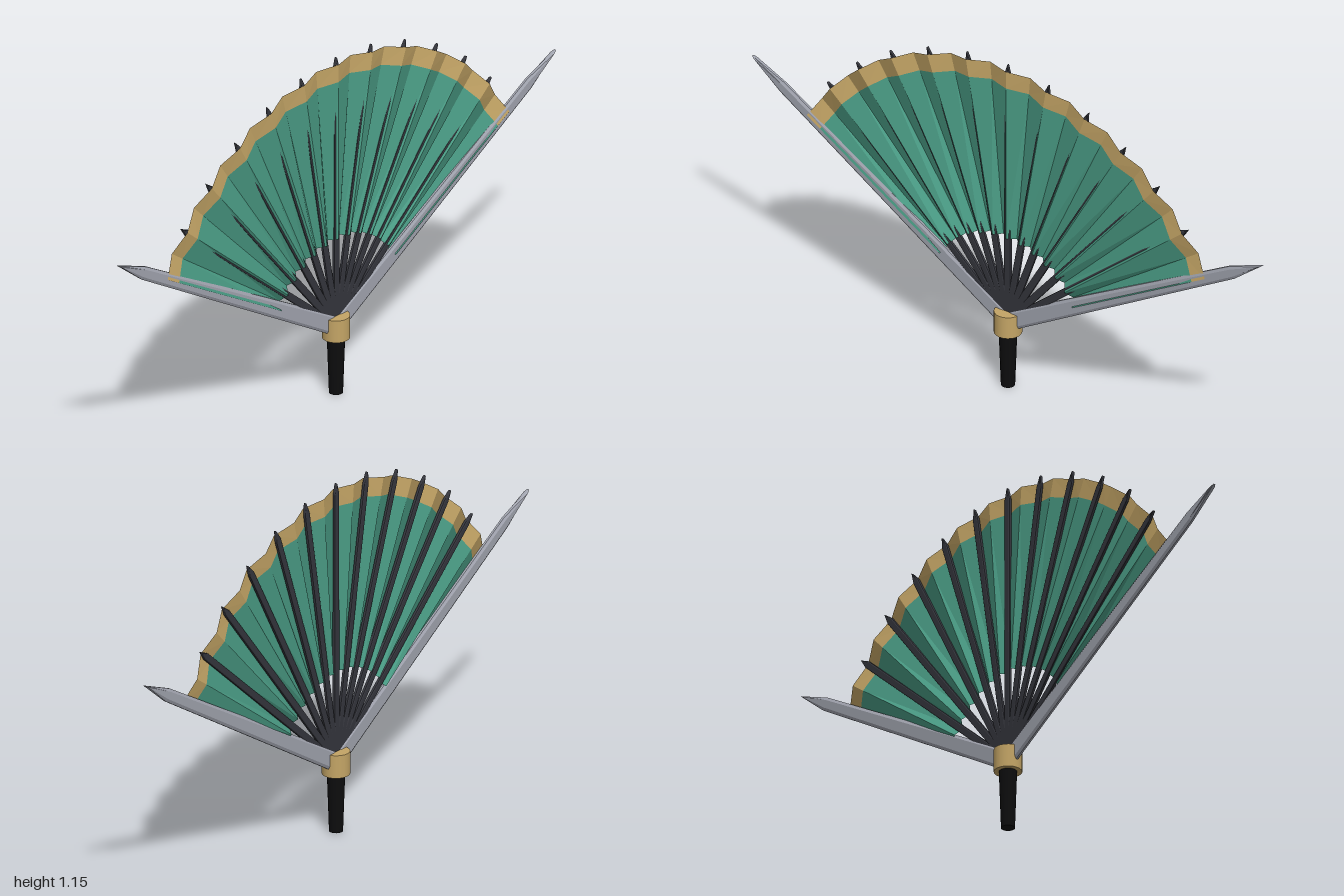
import * as THREE from 'three';

const mat = (name, color, side = THREE.FrontSide) => {
  const m = new THREE.MeshStandardMaterial({ color, side });
  m.name = name;
  return m;
};

const PIVOT = 0.228;
const STEP = Math.PI / 36; // one pleat face

// Flat pointed blade along +y with chamfered edges, centred on z = 0
function bladeGeometry(baseHalf, endHalf, shoulder, tip, start, halfThick, bevel, bevelDepth) {
  const shape = new THREE.Shape([
    [-baseHalf, start], [baseHalf, start], [endHalf, shoulder], [0, tip], [-endHalf, shoulder],
  ].map(([x, y]) => new THREE.Vector2(x, y)));
  const depth = 2 * (halfThick - bevelDepth);
  const g = new THREE.ExtrudeGeometry(shape, {
    depth, bevelEnabled: true, bevelSegments: 1,
    bevelSize: bevel, bevelOffset: -bevel, bevelThickness: bevelDepth,
  });
  return g.translate(0, 0, -depth / 2);
}

// Pleated ring sector between two radii; folds alternate in front and behind
function pleatGeometry(rIn, rOut) {
  const pos = [];
  const point = (i, r) => {
    const a = i * STEP;
    return [r * Math.sin(a), r * Math.cos(a), i % 2 === 0 ? 0.011 : -0.011];
  };
  for (let i = -12; i < 12; i++) {
    const a = point(i, rIn), b = point(i + 1, rIn), c = point(i + 1, rOut), d = point(i, rOut);
    pos.push(...a, ...b, ...c, ...a, ...c, ...d);
  }
  const g = new THREE.BufferGeometry();
  g.setAttribute('position', new THREE.Float32BufferAttribute(pos, 3));
  g.computeVertexNormals();
  return g;
}

export function createModel() {
  const teal = mat('teal cloth', 0x4a9c85, THREE.DoubleSide);
  const gold = mat('gold trim', 0xc4a566, THREE.DoubleSide);
  const steel = mat('steel', 0xa2a5b0);
  const dark = mat('dark ribs', 0x35363d);
  const black = mat('black grip', 0x0d0d0e);

  const model = new THREE.Group();
  model.name = 'foldingFan';
  const add = (parent, name, geometry, material, y = 0, angle = 0) => {
    const m = new THREE.Mesh(geometry, material);
    m.name = name;
    m.position.y = y;
    m.rotation.z = -angle;
    parent.add(m);
    return m;
  };

  // Pleated leaf and its border
  const leaf = new THREE.Group();
  leaf.name = 'leaf';
  leaf.position.y = PIVOT;
  add(leaf, 'leafCloth', pleatGeometry(0.3, 0.84), teal);
  add(leaf, 'leafBorder', pleatGeometry(0.84, 0.9), gold);
  model.add(leaf);

  // Thin ribs, one in each forward fold
  const ribs = new THREE.Group();
  ribs.name = 'ribs';
  const ribGeo = bladeGeometry(0.012, 0.011, 0.885, 0.922, 0, 0.006, 0.003, 0.002);
  for (let i = -5; i <= 5; i++) add(ribs, 'rib', ribGeo, dark, PIVOT, i * 2 * STEP);
  model.add(ribs);

  // Outer guard blades
  const guardGeo = bladeGeometry(0.031, 0.021, 1.015, 1.154, 0, 0.0085, 0.009, 0.005);
  for (const s of [-1, 1]) {
    add(model, s > 0 ? 'leftGuard' : 'rightGuard', guardGeo, steel, PIVOT, s * 12 * STEP);
  }

  // Collar and tapered grip
  add(model, 'collar', new THREE.CylinderGeometry(0.044, 0.044, 0.075, 20), gold, 0.2275);
  add(model, 'grip', new THREE.CylinderGeometry(0.029, 0.022, 0.2, 14), black, 0.1);

  return model;
}
